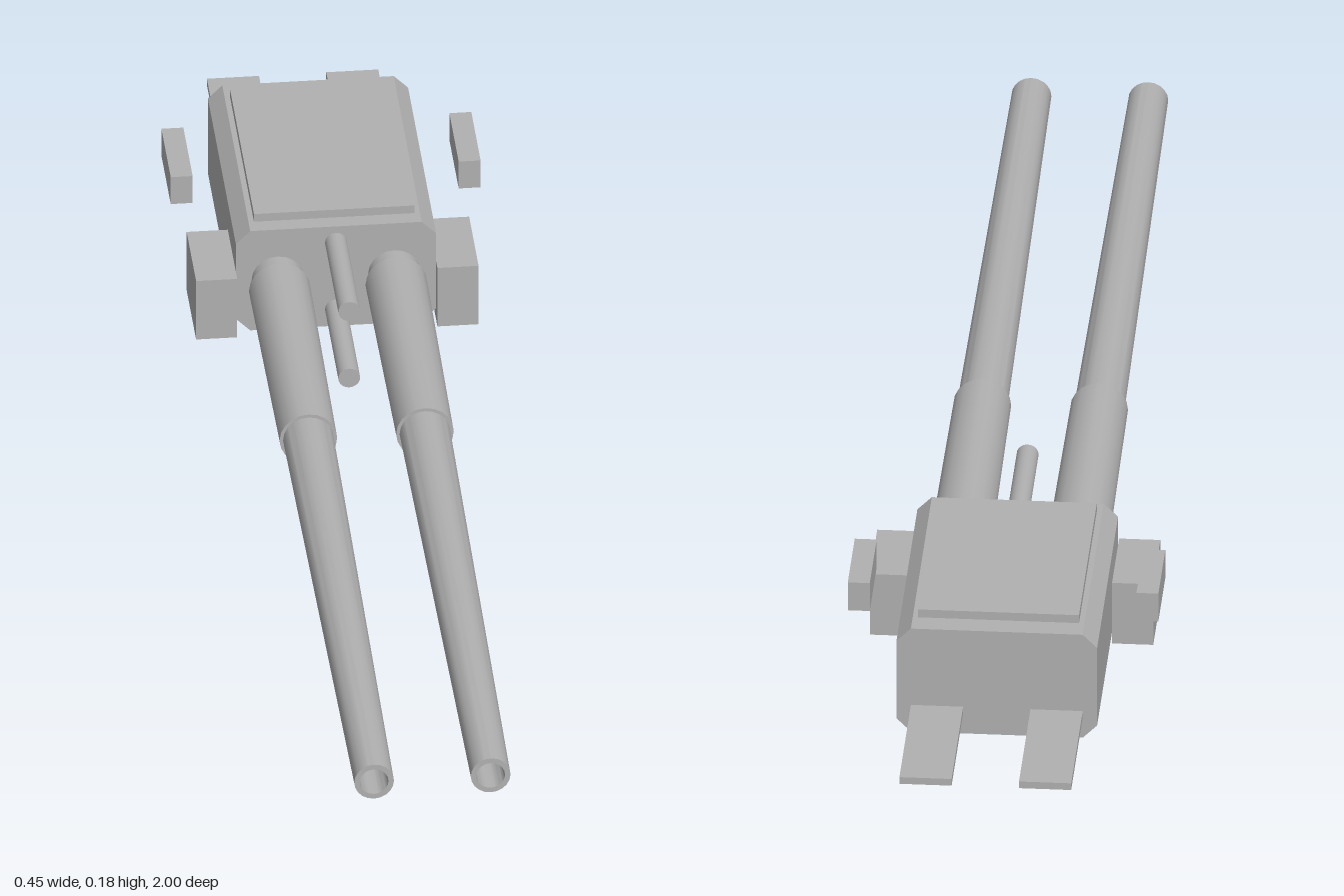
import * as THREE from 'three';
import { toCreasedNormals } from 'three/addons/utils/BufferGeometryUtils.js';

export function createModel() {
  const model = new THREE.Group();
  model.name = 'twinGunMount';
  const grey = new THREE.MeshStandardMaterial({ color: 0xb0b0b0 });
  grey.name = 'plainGrey';

  const add = (name, geometry, x, y, z) => {
    const mesh = new THREE.Mesh(geometry, grey);
    mesh.name = name;
    mesh.position.set(x, y, z);
    model.add(mesh);
    return mesh;
  };

  // Box given by its extents on each axis
  const box = (name, x0, x1, y0, y1, z0, z1) =>
    add(name, new THREE.BoxGeometry(x1 - x0, y1 - y0, z1 - z0),
      (x0 + x1) / 2, (y0 + y1) / 2, (z0 + z1) / 2);

  // Housing: chamfered cross-section extruded from back to front
  const w = 0.146, h = 0.17, c = 0.021;
  const section = new THREE.Shape([
    [-w + c, 0], [w - c, 0], [w, c], [w, h - c],
    [w - c, h], [-w + c, h], [-w, h - c], [-w, c],
  ].map(([x, y]) => new THREE.Vector2(x, y)));
  add('housing', new THREE.ExtrudeGeometry(section, { depth: 0.4, bevelEnabled: false }), 0, 0, -0.78);

  // Roof plate
  box('roofPlate', -0.117, 0.117, 0.17, 0.183, -0.745, -0.405);

  // Barrel profile: neck, tapered sleeve, tapered tube and open bore
  const profile = [
    [0, -0.4], [0.038, -0.4], [0.038, -0.35], [0.045, -0.35], [0.042, 0.06],
    [0.037, 0.06], [0.029, 1], [0.021, 1], [0.021, 0.9], [0, 0.9],
  ].map(([r, z]) => new THREE.Vector2(r, z));
  const barrel = toCreasedNormals(new THREE.LatheGeometry(profile, 20).rotateX(Math.PI / 2), 0.6);

  // Paired parts
  for (const [side, s] of [['left', 1], ['right', -1]]) {
    const pair = (name, x0, x1, ...rest) =>
      box(side + name, Math.min(s * x0, s * x1), Math.max(s * x0, s * x1), ...rest);
    add(side + 'Barrel', barrel, s * 0.085, 0.086, 0);
    pair('SideBox', 0.146, 0.206, 0.002, 0.102, -0.495, -0.36);
    pair('SightBox', 0.194, 0.226, 0.131, 0.177, -0.66, -0.527);
    pair('RearPlate', 0.049, 0.125, 0.033, 0.044, -1, -0.77);
  }

  // Short rods above and below the barrels
  const rod = new THREE.CylinderGeometry(0.016, 0.016, 0.2, 20).rotateX(Math.PI / 2);
  add('upperRod', rod, 0, 0.143, -0.29);
  add('lowerRod', rod, 0, 0.029, -0.29);

  return model;
}
